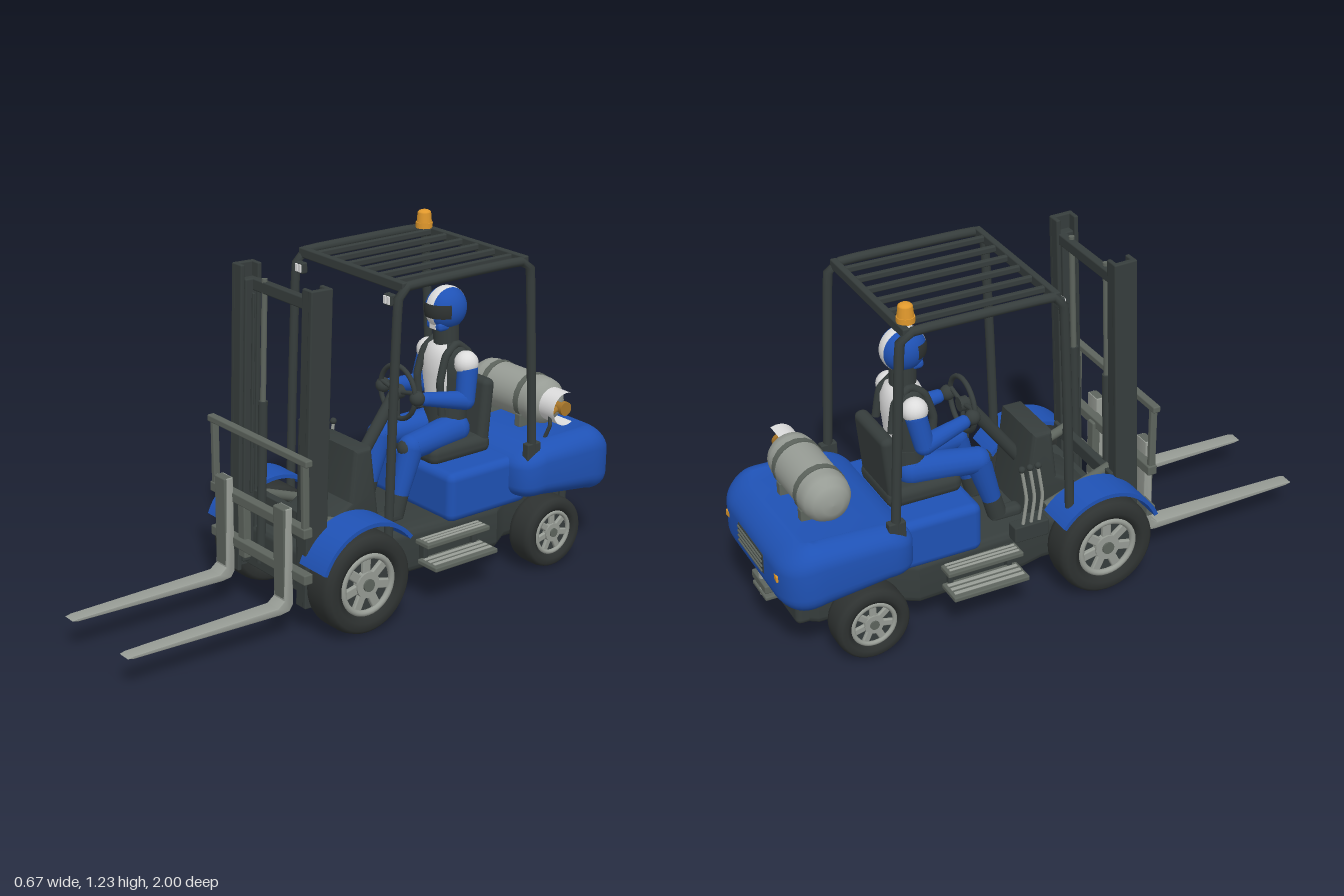
import * as THREE from 'three';
import { toCreasedNormals } from 'three/addons/utils/BufferGeometryUtils.js';
import { RoundedBoxGeometry } from 'three/addons/geometries/RoundedBoxGeometry.js';

const V = (p) => new THREE.Vector3(...p);
const paint = (name, color) => Object.assign(new THREE.MeshStandardMaterial({ color }), { name });

export function createModel() {
  const blue = paint('bodyBlue', 0x1f52b5), dark = paint('frameCharcoal', 0x363d3c);
  const rubber = paint('rubber', 0x2e3231), steel = paint('darkSteel', 0x5d645d);
  const silver = paint('silver', 0x979c95), white = paint('white', 0xdcdcdc);
  const orange = paint('amber', 0xe0982c), brass = paint('brass', 0xa8762a);
  white.side = blue.side = THREE.DoubleSide;

  const root = new THREE.Group();
  const group = (name, parent = root) => {
    const g = new THREE.Group();
    g.name = name;
    parent.add(g);
    return g;
  };
  const add = (name, geo, mat, pos = [0, 0, 0], parent = root) => {
    const m = new THREE.Mesh(geo, mat);
    m.name = name;
    m.position.set(...pos);
    parent.add(m);
    return m;
  };
  const box = (name, size, pos, mat, parent, r = 0.005) => add(name,
    new RoundedBoxGeometry(...size, 2, Math.min(r, Math.min(...size) * 0.45)), mat, pos, parent);
  const rod = (name, a, b, r, mat, parent, r2 = r) => {
    const d = V(b).sub(V(a));
    const m = add(name, new THREE.CylinderGeometry(r2, r, d.length(), 16), mat,
      V(a).add(V(b)).multiplyScalar(0.5).toArray(), parent);
    m.quaternion.setFromUnitVectors(new THREE.Vector3(0, 1, 0), d.normalize());
    return m;
  };
  const limb = (name, pts, r, mat, parent) => {
    pts.slice(1).forEach((p, i) => rod(name, pts[i], p, r[i], mat, parent, r[i + 1]));
    pts.forEach((p, i) => add(name + 'Joint', new THREE.SphereGeometry(r[i], 16, 12), mat, p, parent));
  };
  const tube = (name, pts, r, mat, parent) => add(name,
    new THREE.TubeGeometry(new THREE.CatmullRomCurve3(pts.map(V), false, 'catmullrom', 0.2), 40, r, 10), mat, [0, 0, 0], parent);
  // Side profile in (z, y), extruded across x
  const across = (shape, w, bevel = 0) => toCreasedNormals(new THREE.ExtrudeGeometry(shape, {
    depth: w - 2 * bevel, bevelEnabled: bevel > 0, bevelSize: bevel, bevelThickness: bevel,
    bevelOffset: -bevel, bevelSegments: 3, curveSegments: 32,
  }).rotateY(-Math.PI / 2).translate(w / 2 - bevel, 0, 0), 0.6);
  const poly = (pts) => new THREE.Shape(pts.map((p) => new THREE.Vector2(...p)));
  // Plan outline in (x, -z), extruded upward from y0
  const upward = (shape, y0, h, bevel) => new THREE.ExtrudeGeometry(shape, {
    depth: h - 2 * bevel, bevelSize: bevel, bevelThickness: bevel, bevelOffset: -bevel,
    bevelSegments: 7, curveSegments: 10,
  }).rotateX(-Math.PI / 2).translate(0, y0 + bevel, 0);

  // Wheels
  const wheel = (name, x, y, z, r, w, s) => {
    const g = group(name);
    g.position.set(s * x, y, z);
    if (s < 0) g.rotation.y = Math.PI;
    const h = w / 2, rim = r * 0.62;
    const profile = [[rim, -h * 0.8], [r * 0.75, -h], [r * 0.9, -h * 0.97], [r * 0.97, -h * 0.8], [r, -h * 0.5],
      [r, h * 0.5], [r * 0.97, h * 0.8], [r * 0.9, h * 0.97], [r * 0.75, h], [rim, h * 0.8], [rim, -h * 0.8]];
    add('tyre', new THREE.LatheGeometry(profile.map((p) => new THREE.Vector2(...p)), 40).rotateZ(-Math.PI / 2), rubber, [0, 0, 0], g);
    rod('rimBack', [-h * 0.7, 0, 0], [h * 0.5, 0, 0], rim, dark, g);
    add('rimRing', new THREE.TorusGeometry(rim * 0.92, rim * 0.1, 10, 36).rotateY(Math.PI / 2), silver, [h * 0.75, 0, 0], g);
    rod('hub', [h * 0.4, 0, 0], [h * 0.85, 0, 0], rim * 0.42, silver, g);
    rod('hubCap', [h * 0.8, 0, 0], [h * 0.95, 0, 0], rim * 0.2, steel, g);
    for (let i = 0; i < 7; i++) {
      const a = i / 7 * Math.PI * 2;
      const m = box('spoke', [h * 0.25, rim * 0.6, rim * 0.3],
        [h * 0.63, Math.cos(a) * rim * 0.63, Math.sin(a) * rim * 0.63], silver, g);
      m.rotation.x = a;
    }
  };
  const fender = new THREE.Shape();
  fender.absarc(0.147, 0.185, 0.212, 0.38, 2.5, false);
  fender.absarc(0.147, 0.185, 0.198, 2.5, 0.38, true);
  for (const s of [-1, 1]) {
    wheel('frontWheel', 0.267, 0.178, 0.155, 0.177, 0.135, s);
    wheel('rearWheel', 0.25, 0.132, -0.7, 0.13, 0.11, s);
    add('fender', across(fender, 0.137), blue, [s * 0.267, 0, 0]);
  }

  // Chassis, floor and cowl
  add('chassis', toCreasedNormals(upward(poly([[-0.18, -0.27], [0.18, -0.27], [0.18, 0.02], [0.2, 0.1], [0.22, 0.5],
    [0.17, 0.58], [0.17, 0.84], [0.12, 0.91], [-0.12, 0.91], [-0.17, 0.84], [-0.17, 0.58], [-0.22, 0.5],
    [-0.2, 0.1], [-0.18, 0.02]]), 0.095, 0.165, 0.03), 0.6), dark);
  box('rearChassis', [0.3, 0.2, 0.3], [0, 0.2, -0.76], dark, root, 0.02);
  rod('frontAxle', [-0.25, 0.178, 0.155], [0.25, 0.178, 0.155], 0.05, dark);
  rod('rearAxle', [-0.24, 0.132, -0.7], [0.24, 0.132, -0.7], 0.03, dark);
  add('cowl', across(poly([[0.22, 0.23], [0.22, 0.29], [0.07, 0.38], [0.05, 0.56], [-0.02, 0.56], [-0.04, 0.4],
    [-0.06, 0.24]]), 0.24, 0.015), dark);
  box('dashShelf', [0.36, 0.06, 0.2], [0, 0.27, 0.13], dark);
  for (const s of [-1, 1]) {
    for (const [x, y, w] of [[0.24, 0.215, 0.07], [0.268, 0.145, 0.1]]) {
      box('step', [w, 0.018, 0.28], [s * x, y, -0.28], steel);
      for (const k of [-0.25, 0, 0.25]) box('stepTread', [w * 0.14, 0.006, 0.26], [s * (x + k * w), y + 0.011, -0.28], silver);
    }
    for (const z of [-0.39, -0.17]) box('stepBracket', [0.03, 0.1, 0.02], [s * 0.215, 0.175, z], dark);
  }

  // Counterweight and engine cover
  const plan = new THREE.Shape();
  plan.moveTo(-0.23, 0.535).lineTo(0.23, 0.535).quadraticCurveTo(0.32, 0.54, 0.32, 0.64).lineTo(0.32, 0.86)
    .bezierCurveTo(0.32, 0.95, 0.27, 0.995, 0.18, 0.995).lineTo(-0.18, 0.995)
    .bezierCurveTo(-0.27, 0.995, -0.32, 0.95, -0.32, 0.86).lineTo(-0.32, 0.64).quadraticCurveTo(-0.32, 0.54, -0.23, 0.535);
  const weight = upward(plan, 0.235, 0.245, 0.075);
  const wp = weight.attributes.position;
  for (let i = 0; i < wp.count; i++) {
    const y = wp.getY(i), z = wp.getZ(i), low = THREE.MathUtils.clamp((0.48 - y) / 0.245, 0, 1);
    const lift = 0.045 * low * THREE.MathUtils.smoothstep(z, -0.95, -0.72);
    const drop = 0.03 * (1 - low) * (THREE.MathUtils.smoothstep(z, -0.68, -0.54) + THREE.MathUtils.smoothstep(-z, 0.88, 1));
    wp.setY(i, y + lift - drop);
  }
  add('counterweight', toCreasedNormals(weight, 0.7), blue);
  box('engineCover', [0.47, 0.18, 0.36], [0, 0.34, -0.45], blue, root, 0.03);
  box('grilleBack', [0.22, 0.075, 0.012], [0, 0.35, -0.992], dark);
  for (let i = 0; i < 4; i++) box('grilleSlat', [0.21, 0.008, 0.008], [0, 0.323 + i * 0.018, -0.999], steel);
  for (const s of [-1, 1]) {
    const lamp = box('rearLamp', [0.05, 0.025, 0.009], [s * 0.2, 0.36, -0.99], orange);
    lamp.rotation.y = s * 0.12;
  }
  box('hitch', [0.12, 0.03, 0.1], [0, 0.21, -0.93], steel);
  box('hitchLower', [0.12, 0.015, 0.08], [0, 0.175, -0.94], steel);
  rod('hitchPin', [0, 0.16, -0.965], [0, 0.245, -0.965], 0.012, silver);

  // Gas tank
  const tank = group('gasTank');
  tank.position.set(0, 0.565, -0.785);
  const cyl = [[0, -0.21], [0.035, -0.207], [0.062, -0.193], [0.08, -0.165], [0.085, -0.14], [0.085, 0.12],
    [0.08, 0.15], [0.06, 0.175], [0.03, 0.19], [0, 0.192]];
  add('tankShell', new THREE.LatheGeometry(cyl.map((p) => new THREE.Vector2(...p)), 32).rotateZ(-Math.PI / 2), silver, [0, 0, 0], tank);
  const collar = new THREE.CylinderGeometry(0.06, 0.06, 0.08, 24, 1, true, -2, 4.1).rotateZ(-Math.PI / 2);
  add('tankCollar', collar, white, [0.21, 0, 0], tank);
  rod('valve', [0.18, 0, 0], [0.235, 0, 0], 0.016, brass, tank);
  rod('valveWheel', [0.235, 0, 0], [0.25, 0, 0], 0.025, brass, tank);
  rod('valveOutlet', [0.215, 0, 0], [0.215, -0.02, 0.045], 0.01, brass, tank);
  tube('gasHose', [[0.215, -0.02, 0.045], [0.235, -0.05, 0.06], [0.22, -0.1, 0.07]], 0.007, dark, tank);
  for (const x of [-0.1, 0.08]) {
    rod('tankStrap', [x - 0.012, 0, 0], [x + 0.012, 0, 0], 0.089, steel, tank);
    box('tankCradle', [0.03, 0.05, 0.15], [x, -0.075, 0], steel, tank);
  }

  // Overhead guard
  const guard = group('overheadGuard');
  for (const s of [-1, 1]) {
    tube('guardSideFrame', [[s * 0.275, 0.25, 0.035], [s * 0.275, 0.7, 0.02], [s * 0.275, 1.09, 0.003], [s * 0.275, 1.135, -0.008],
      [s * 0.275, 1.153, -0.05], [s * 0.275, 1.153, -0.5], [s * 0.275, 1.143, -0.55], [s * 0.275, 1.1, -0.57],
      [s * 0.275, 0.42, -0.605]], 0.016, dark, guard);
    box('guardFoot', [0.03, 0.1, 0.06], [s * 0.275, 0.44, -0.602], dark, guard);
    const lamp = box('workLamp', [0.038, 0.038, 0.025], [s * 0.238, 1.108, 0.005], dark, guard);
    for (const x of [-0.009, 0.009]) box('lampLens', [0.013, 0.028, 0.006], [x, 0, 0.014], white, lamp, 0.002);
  }
  for (const z of [-0.025, -0.545]) box('guardCrossBar', [0.56, 0.034, 0.024], [0, 1.15, z], dark, guard);
  for (let i = 0; i < 6; i++) box('guardSlat', [0.018, 0.022, 0.52], [-0.21 + i * 0.084, 1.152, -0.285], dark, guard);
  rod('beaconBase', [-0.23, 1.165, -0.525], [-0.23, 1.185, -0.525], 0.03, orange, guard);
  rod('beaconLens', [-0.23, 1.185, -0.525], [-0.23, 1.218, -0.525], 0.027, orange, guard, 0.024);
  add('beaconTop', new THREE.SphereGeometry(0.024, 16, 8, 0, Math.PI * 2, 0, Math.PI / 2).scale(1, 0.5, 1), orange, [-0.23, 1.218, -0.525], guard);

  // Mast, leaning slightly back
  const mast = group('mast');
  mast.position.set(0, 0.1, 0.295);
  mast.rotation.x = -0.033;
  for (const s of [-1, 1]) {
    box('outerRailWeb', [0.02, 1.08, 0.085], [s * 0.21, 0.54, 0], dark, mast);
    for (const z of [-0.034, 0.034]) box('outerRailFlange', [0.052, 1.08, 0.016], [s * 0.192, 0.54, z], dark, mast);
    box('innerRail', [0.034, 1.0, 0.045], [s * 0.182, 0.53, 0], dark, mast);
    rod('liftCylinder', [s * 0.113, 0.04, -0.015], [s * 0.113, 0.62, -0.015], 0.016, dark, mast);
    rod('liftPiston', [s * 0.113, 0.6, -0.015], [s * 0.113, 1.04, -0.015], 0.01, steel, mast);
    box('liftChain', [0.012, 0.7, 0.008], [s * 0.14, 0.64, 0.01], dark, mast);
    rod('tiltCylinder', [s * 0.15, 0.28, -0.03], [s * 0.15, 0.2, -0.28], 0.017, steel, mast);
  }
  for (const [y, h, z] of [[1.01, 0.04, -0.02], [0.045, 0.06, -0.02], [0.26, 0.05, -0.04]])
    box('mastCrossBar', [0.4, h, 0.03], [0, y, z], dark, mast);

  // Fork carriage
  const carriage = group('forkCarriage');
  for (const y of [0.233, 0.395]) box('carriageBar', [0.54, 0.036, 0.035], [0, y, 0.358], steel, carriage);
  box('backrestBar', [0.56, 0.024, 0.028], [0, 0.638, 0.36], steel, carriage);
  const fork = poly([[0.37, 0.465], [0.37, 0.125], [0.385, 0.103], [0.42, 0.098], [0.98, 0.11], [1, 0.116],
    [0.98, 0.121], [0.43, 0.125], [0.405, 0.145], [0.397, 0.465]]);
  for (const s of [-1, 1]) {
    box('backrestPost', [0.02, 0.24, 0.025], [s * 0.255, 0.52, 0.36], steel, carriage);
    box('carriageUpright', [0.038, 0.22, 0.03], [s * 0.11, 0.29, 0.345], steel, carriage);
    const g = across(fork, 0.064, 0.004), p = g.attributes.position;
    for (let i = 0; i < p.count; i++) if (p.getZ(i) > 0.95) p.setX(i, p.getX(i) * 0.8);
    add('fork', g, silver, [s * 0.168, 0, 0], carriage);
    box('forkShank', [0.06, 0.32, 0.034], [s * 0.168, 0.306, 0.388], steel, carriage);
  }

  // Seat and controls
  box('seatCushion', [0.25, 0.07, 0.27], [0, 0.455, -0.42], dark, root, 0.03);
  const back = box('seatBack', [0.24, 0.24, 0.05], [0, 0.57, -0.535], dark, root, 0.024);
  back.rotation.x = -0.1;
  rod('steeringColumn', [0, 0.42, -0.02], [0, 0.68, -0.215], 0.022, dark);
  add('steeringWheel', new THREE.TorusGeometry(0.094, 0.009, 10, 36), dark, [0, 0.68, -0.225]);
  for (const a of [0.2, Math.PI - 0.2, -Math.PI / 2])
    rod('steeringSpoke', [0, 0.68, -0.225], [Math.cos(a) * 0.09, 0.68 + Math.sin(a) * 0.09, -0.225], 0.008, dark);
  rod('steeringHub', [0, 0.68, -0.21], [0, 0.68, -0.24], 0.025, dark);
  for (let i = 0; i < 3; i++) {
    const z = -0.06 - i * 0.03;
    tube('lever', [[-0.22, 0.26, z], [-0.235, 0.4, z + 0.01], [-0.24, 0.52, z - 0.01]], 0.006, silver);
    add('leverKnob', new THREE.SphereGeometry(0.012, 12, 8), dark, [-0.24, 0.525, z - 0.01]);
  }
  box('leverBase', [0.05, 0.06, 0.13], [-0.215, 0.27, -0.09], dark);

  // Driver
  const driver = group('driver');
  const torso = [[0.078, 0.47], [0.082, 0.54], [0.085, 0.62], [0.098, 0.71], [0.098, 0.77], [0.075, 0.81], [0.04, 0.83]];
  for (const [from, len, mat] of [[-0.75, 1.5, white], [0.75, 1.64, dark], [2.39, 1.5, white], [3.89, 1.64, dark]])
    add('torsoPanel', new THREE.LatheGeometry(torso.map((p) => new THREE.Vector2(...p)), 12, from, len).scale(1, 1, 0.72), mat, [0, 0, -0.44], driver);
  add('waist', new THREE.CylinderGeometry(0.087, 0.087, 0.13, 28).scale(1, 1, 0.76), dark, [0, 0.535, -0.44], driver);
  rod('neck', [0, 0.8, -0.44], [0, 0.89, -0.437], 0.045, dark, driver);
  for (const s of [-1, 1]) {
    tube('harness', [[s * 0.06, 0.58, -0.373], [s * 0.062, 0.7, -0.362], [s * 0.058, 0.79, -0.39], [s * 0.055, 0.825, -0.44],
      [s * 0.058, 0.78, -0.495], [s * 0.062, 0.68, -0.512]], 0.014, dark, driver);
    add('shoulder', new THREE.SphereGeometry(0.044, 18, 14), white, [s * 0.1, 0.765, -0.445], driver);
    limb('arm', [[s * 0.108, 0.745, -0.445], [s * 0.122, 0.64, -0.425], [s * 0.097, 0.67, -0.27]], [0.037, 0.034, 0.024], blue, driver);
    add('glove', new THREE.SphereGeometry(0.027, 14, 10), dark, [s * 0.093, 0.678, -0.235], driver);
    limb('leg', [[s * 0.05, 0.515, -0.44], [s * 0.085, 0.505, -0.215], [s * 0.085, 0.31, -0.155]], [0.055, 0.045, 0.031], blue, driver);
    add('kneePad', new THREE.SphereGeometry(0.034, 14, 10), dark, [s * 0.085, 0.505, -0.198], driver);
    rod('bootShaft', [s * 0.085, 0.345, -0.165], [s * 0.085, 0.275, -0.145], 0.034, dark, driver);
    box('bootFoot', [0.055, 0.045, 0.12], [s * 0.085, 0.27, -0.115], dark, driver, 0.02);
  }
  const helmet = group('helmet', driver);
  helmet.position.set(0, 0.943, -0.435);
  helmet.scale.set(0.066, 0.077, 0.078);
  add('helmetShell', new THREE.SphereGeometry(1, 32, 24), blue, [0, 0, 0], helmet);
  add('helmetStripe', new THREE.SphereGeometry(1.015, 40, 6, 0, Math.PI * 2, Math.PI / 2 - 0.28, 0.56).rotateZ(Math.PI / 2), white, [0, 0, 0], helmet);
  add('visor', new THREE.SphereGeometry(1.035, 24, 10, 0.35, Math.PI - 0.7, 1.25, 0.62), rubber, [0, 0, 0], helmet);
  box('chinGuard', [1.2, 0.42, 0.7], [0, -0.72, 0.4], blue, helmet, 0.18);
  box('chinStripe', [0.5, 0.3, 0.05], [0, -0.72, 0.74], white, helmet, 0.02);
  return root;
}
